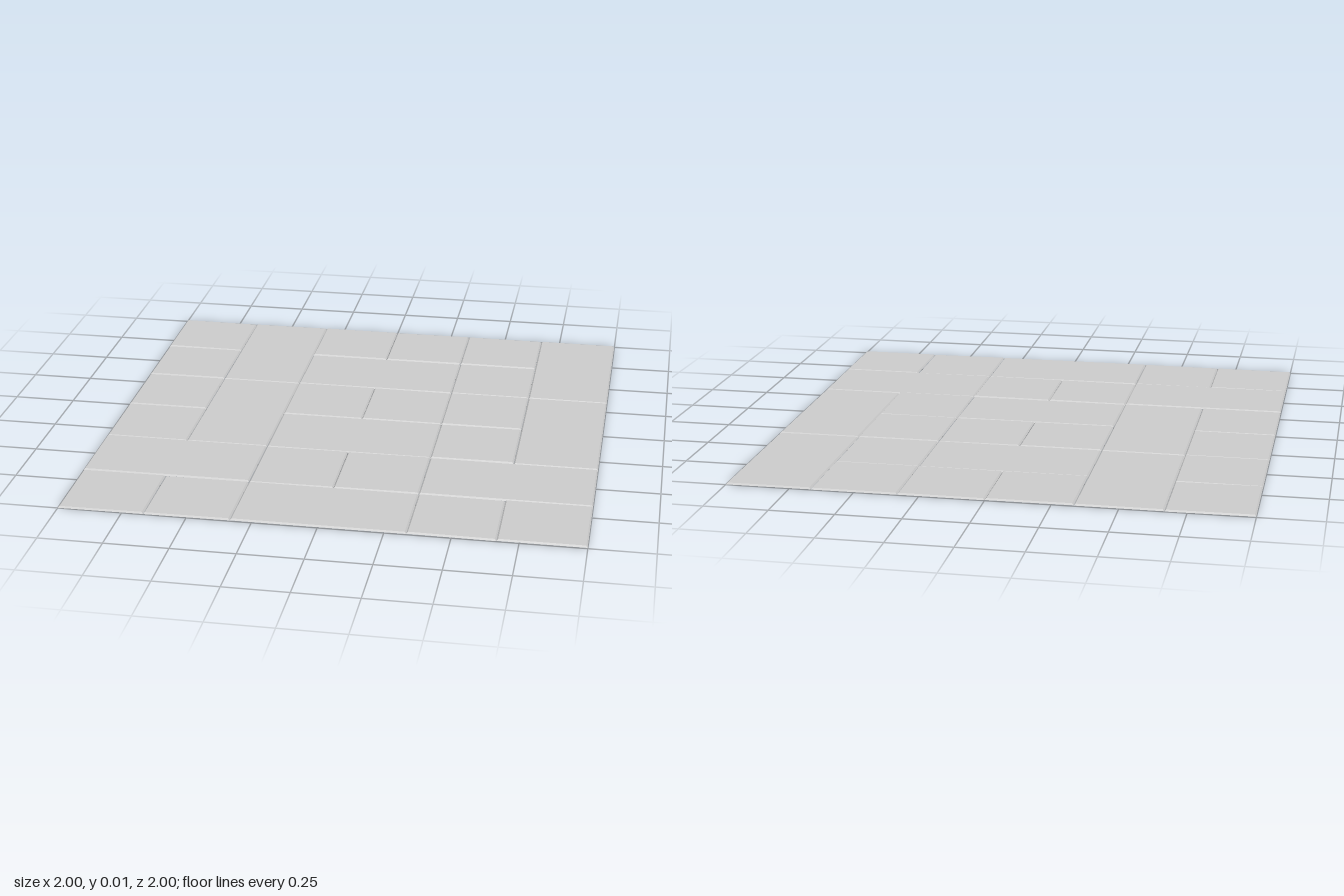
import * as THREE from 'three';

const CELL = 1 / 3;     // the floor is a 6 x 6 grid of cells
const THICK = 0.006;    // slab thickness
const BEVEL = 0.006;    // how far the top edge steps in from the bottom edge

// Small seeded generator, returns -1..1
function seeded(seed) {
  let s = seed;
  return () => {
    s = (s * 16807) % 2147483647;
    return (s / 2147483647) * 2 - 1;
  };
}

// Slabs of a 2 x 2 cell block as [column, row, width, depth]
const BLOCKS = {
  tallRight: [[0, 0, 1, 1], [0, 1, 1, 1], [1, 0, 1, 2]],
  wideFront: [[0, 0, 1, 1], [1, 0, 1, 1], [0, 1, 2, 1]],
  wideBack: [[0, 0, 2, 1], [0, 1, 1, 1], [1, 1, 1, 1]],
};

// Block layout, back row first, left to right in x
const LAYOUT = [
  ['tallRight', 'wideFront', 'tallRight'],
  ['tallRight', 'wideFront', 'tallRight'],
  ['wideBack', 'wideFront', 'wideBack'],
];

// One thin slab with sloping sides, laid slightly tilted
function slabGeometry(w, d, tiltX, tiltZ, lift) {
  const geo = new THREE.BoxGeometry(w, THICK, d);
  const p = geo.attributes.position;
  for (let i = 0; i < p.count; i++) {
    const sx = Math.sign(p.getX(i)), sz = Math.sign(p.getZ(i));
    const top = p.getY(i) > 0;
    const inset = top ? BEVEL : 0.0005;
    const y = (top ? THICK : 0) + lift + tiltX * sx + tiltZ * sz;
    p.setXYZ(i, sx * (w / 2 - inset), y, sz * (d / 2 - inset));
  }
  geo.computeVertexNormals();
  return geo;
}

export function createModel() {
  const floor = new THREE.Group();
  floor.name = 'pavedFloor';
  const material = new THREE.MeshStandardMaterial({ color: 0xcccccc, flatShading: true });
  const rand = seeded(4711);

  LAYOUT.forEach((row, bz) => row.forEach((kind, bx) => {
    for (const [c, r, w, d] of BLOCKS[kind]) {
      const tiltX = rand() * 0.001, tiltZ = rand() * 0.001;
      // keep every corner between the ground and the top level
      const lift = 0.002 + rand() * (0.002 - Math.abs(tiltX) - Math.abs(tiltZ));
      const slab = new THREE.Mesh(slabGeometry(w * CELL, d * CELL, tiltX, tiltZ, lift), material);
      slab.name = w * d === 1 ? 'squareSlab' : 'longSlab';
      slab.position.set(-1 + (bx * 2 + c + w / 2) * CELL, 0, -1 + (bz * 2 + r + d / 2) * CELL);
      floor.add(slab);
    }
  }));
  return floor;
}
